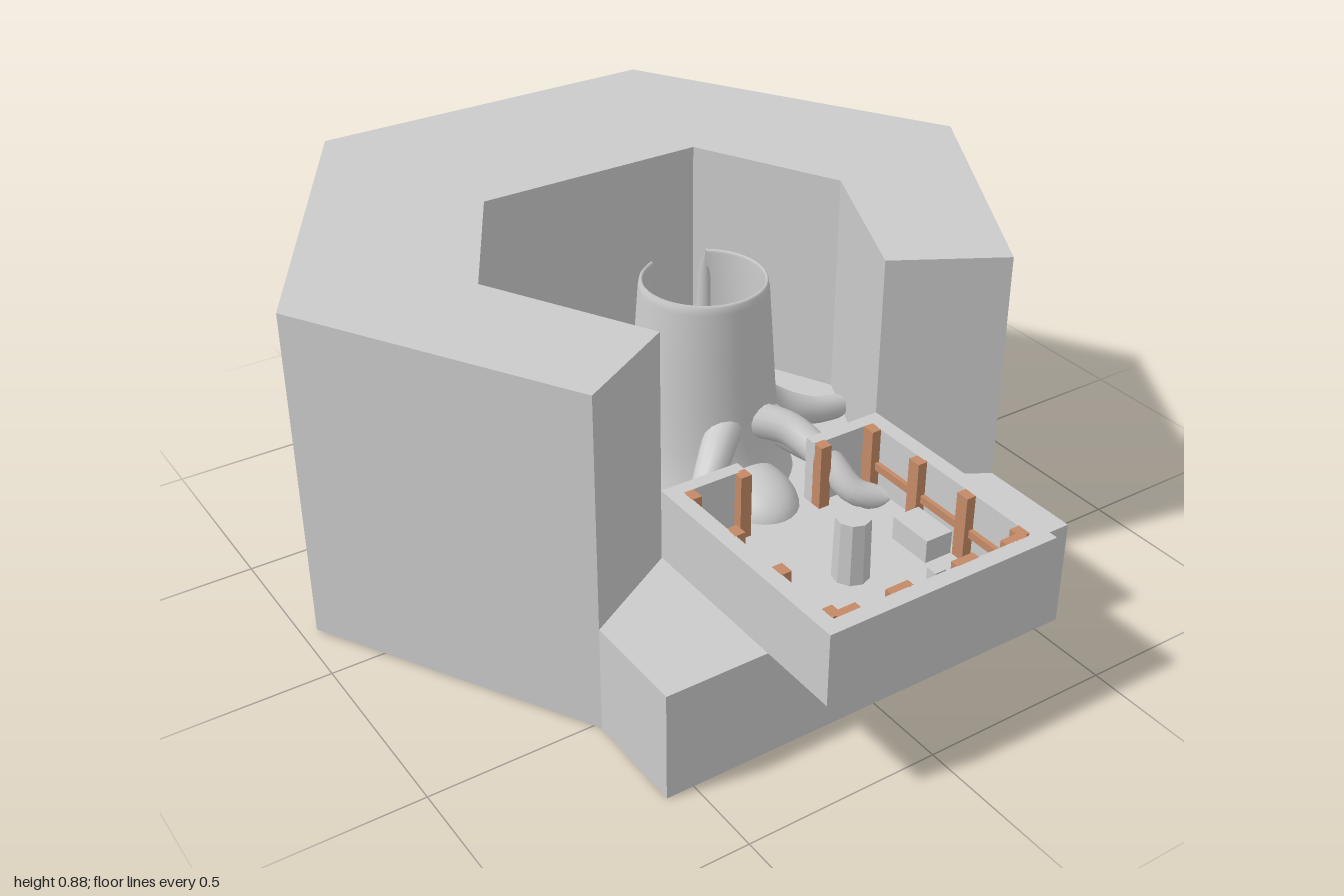
import * as THREE from 'three';

const FLOOR = 0.283, TOP = 0.88;

const material = (color = 0xcccccc, flatShading = false) =>
  new THREE.MeshStandardMaterial({ color, flatShading, side: THREE.DoubleSide });
const stone = material(0xcccccc, true);
const smooth = material();
const wood = material(0xc48a66, true);

function add(parent, name, geometry, mat = stone) {
  const mesh = new THREE.Mesh(geometry, mat);
  mesh.name = name;
  parent.add(mesh);
  return mesh;
}

// Box given by its low and high corners
function box(parent, name, [x0, y0, z0], [x1, y1, z1], mat) {
  const mesh = add(parent, name, new THREE.BoxGeometry(x1 - x0, y1 - y0, z1 - z0), mat);
  mesh.position.set((x0 + x1) / 2, (y0 + y1) / 2, (z0 + z1) / 2);
  return mesh;
}

// Vertical prism over a plan outline of [x, z] points
function prism(outline, y0, y1) {
  const shape = new THREE.Shape(outline.map(([x, z]) => new THREE.Vector2(x, -z)));
  return new THREE.ExtrudeGeometry(shape, { depth: y1 - y0, bevelEnabled: false })
    .rotateX(-Math.PI / 2).translate(0, y0, 0);
}

// Tube along a curve that narrows from r0 to r1
function taperedTube(points, r0, r1, segments = 24, sides = 14) {
  const curve = new THREE.CatmullRomCurve3(points.map(p => new THREE.Vector3(...p)));
  const geometry = new THREE.TubeGeometry(curve, segments, 1, sides);
  const pos = geometry.attributes.position, v = new THREE.Vector3();
  for (let i = 0; i <= segments; i++) {
    const t = i / segments, centre = curve.getPointAt(t);
    const r = (r0 + (r1 - r0) * t) * Math.sqrt(Math.max(0.02, Math.min(1, (1 - t) * 10)));
    for (let j = 0; j <= sides; j++) {
      const k = i * (sides + 1) + j;
      v.fromBufferAttribute(pos, k).sub(centre).multiplyScalar(r).add(centre);
      pos.setXYZ(k, v.x, v.y, v.z);
    }
  }
  return geometry;
}

function buildBlock(model) {
  const outer = [[-0.57, 0.52], [-0.965, -0.165], [-0.48, -1], [0.48, -1], [0.965, -0.165], [0.57, 0.52]];
  const inner = [[0.31, 0.37], [0.5, -0.045], [0.31, -0.43], [-0.31, -0.43], [-0.53, -0.045], [-0.31, 0.37]];

  // Base with front step; its underside rises slightly to the back
  const base = prism([...outer, [0.57, 0.79], [-0.57, 0.79]], 0, FLOOR);
  const pos = base.attributes.position;
  for (let i = 0; i < pos.count; i++)
    if (pos.getY(i) < 0.01) pos.setY(i, 0.015 * (0.79 - pos.getZ(i)) / 1.79);
  add(model, 'base', base);
  add(model, 'hexagonalWall', prism([...outer, ...inner], FLOOR, TOP));
}

function buildTrunk(model) {
  const trunk = new THREE.Group();
  trunk.name = 'hollowTrunk';
  trunk.position.z = 0.08;
  model.add(trunk);

  // Hollow shell, open at the back
  const start = -157 * Math.PI / 180, sweep = 301 * Math.PI / 180;
  const profile = [[0.225, FLOOR], [0.2, 0.34], [0.186, 0.42], [0.176, 0.52], [0.166, 0.66], [0.157, 0.78],
    [0.154, 0.797], [0.149, 0.803], [0.145, 0.795], [0.146, 0.66], [0.148, 0.45], [0.15, FLOOR]]
    .map(p => new THREE.Vector2(...p));
  add(trunk, 'trunkShell', new THREE.LatheGeometry(profile, 48, start, sweep), smooth);

  // Curled lips beside the opening
  for (const a of [start, start + sweep]) {
    const at = (r, y) => [r * Math.sin(a), y, r * Math.cos(a)];
    add(trunk, 'trunkLip', taperedTube([at(0.19, FLOOR), at(0.174, 0.45), at(0.165, 0.62), at(0.158, 0.79)], 0.035, 0.018), smooth);
  }

  // Low skirt of the trunk in front
  const skirt = add(trunk, 'trunkSkirt',
    new THREE.SphereGeometry(1, 28, 10, 0, Math.PI * 2, 0, Math.PI / 2), smooth);
  skirt.scale.set(0.11, 0.09, 0.15);
  skirt.position.set(0, FLOOR, 0.2);

  // Roots: path and start and end radii
  const roots = [
    [[[-0.1, 0.5, -0.02], [-0.17, 0.43, -0.06], [-0.28, 0.34, -0.13], [-0.415, 0.3, -0.24]], 0.055, 0.028],
    [[[-0.12, 0.42, -0.03], [-0.2, 0.35, -0.04], [-0.27, 0.31, -0.09], [-0.36, 0.29, -0.16]], 0.045, 0.025],
    [[[-0.14, 0.44, 0.1], [-0.2, 0.37, 0.11], [-0.28, 0.32, 0.15], [-0.37, 0.3, 0.18]], 0.045, 0.022],
    [[[0.13, 0.5, 0.02], [0.2, 0.42, -0.04], [0.28, 0.35, -0.14], [0.38, 0.3, -0.28]], 0.055, 0.026],
    [[[0.13, 0.46, 0.07], [0.22, 0.38, 0.07], [0.32, 0.33, 0.085], [0.46, 0.3, 0.08]], 0.05, 0.03],
    [[[0.1, 0.44, 0.2], [0.17, 0.38, 0.27], [0.24, 0.33, 0.31], [0.34, 0.3, 0.32]], 0.045, 0.03],
    [[[0.04, 0.47, 0.22], [0.11, 0.45, 0.29], [0.15, 0.4, 0.39], [0.18, 0.34, 0.46], [0.26, 0.31, 0.5]], 0.045, 0.03],
    [[[-0.03, 0.47, 0.22], [-0.1, 0.44, 0.28], [-0.16, 0.38, 0.33], [-0.19, 0.3, 0.39]], 0.045, 0.032],
  ];
  for (const [path, r0, r1] of roots) {
    const root = add(trunk, 'root', taperedTube(path, r0, r1), smooth);
    root.position.z = -0.08;
  }
}

function buildTray(model) {
  const tray = new THREE.Group();
  tray.name = 'frontRoom';
  model.add(tray);
  const y0 = 0.285, y1 = 0.47, floor = 0.3;

  box(tray, 'roomFloor', [-0.31, y0, 0.37], [0.31, floor, 1]);
  box(tray, 'roomFrontWall', [-0.31, floor, 0.96], [0.31, y1, 1]);
  for (const s of [-1, 1]) {
    const side = s < 0 ? 'right' : 'left';
    const span = (a, b) => s < 0 ? [-b, -a] : [a, b];
    const [a0, a1] = span(0.27, 0.31), [b0, b1] = span(0.1, 0.27), [c0, c1] = span(0.1, 0.13);
    box(tray, side + 'RoomWall', [a0, floor, 0.37], [a1, y1, 0.96]);
    box(tray, side + 'RoomBackWall', [b0, floor, 0.37], [b1, y1, 0.405]);
    box(tray, side + 'DoorPost', [c0, floor, 0.4], [c1, y1, 0.43], wood);

    // Timber posts and rails along the side walls
    const [p0, p1] = span(0.245, 0.272), [r0, r1] = span(0.258, 0.271);
    for (const z of [0.42, 0.59, 0.76, 0.935])
      box(tray, 'wallPost', [p0, floor, z - 0.015], [p1, y1, z + 0.02], wood);
    box(tray, 'wallRail', [r0, 0.36, 0.41], [r1, 0.38, 0.96], wood);
  }
  for (const x of [-0.23, -0.09, 0.09, 0.23])
    box(tray, 'frontPost', [x - 0.03, floor, 0.94], [x + 0.03, y1, 0.962], wood);

  // Furnishings
  const pillar = add(tray, 'pillar', new THREE.CylinderGeometry(0.042, 0.045, 0.16, 9));
  pillar.position.set(0, floor + 0.08, 0.68);
  box(tray, 'table', [0.17, floor, 0.62], [0.245, 0.36, 0.74]);
  box(tray, 'stool', [0.135, floor, 0.785], [0.165, 0.33, 0.815]);
  box(tray, 'bench', [-0.255, floor, 0.44], [-0.235, 0.33, 0.86]);
  const crate = add(tray, 'cornerHeap', new THREE.CylinderGeometry(0.045, 0.055, 0.05, 5));
  crate.position.set(-0.195, floor + 0.025, 0.9);
}

export function createModel() {
  const model = new THREE.Group();
  model.name = 'hexagonalCourtyard';
  buildBlock(model);
  buildTrunk(model);
  buildTray(model);
  return model;
}
